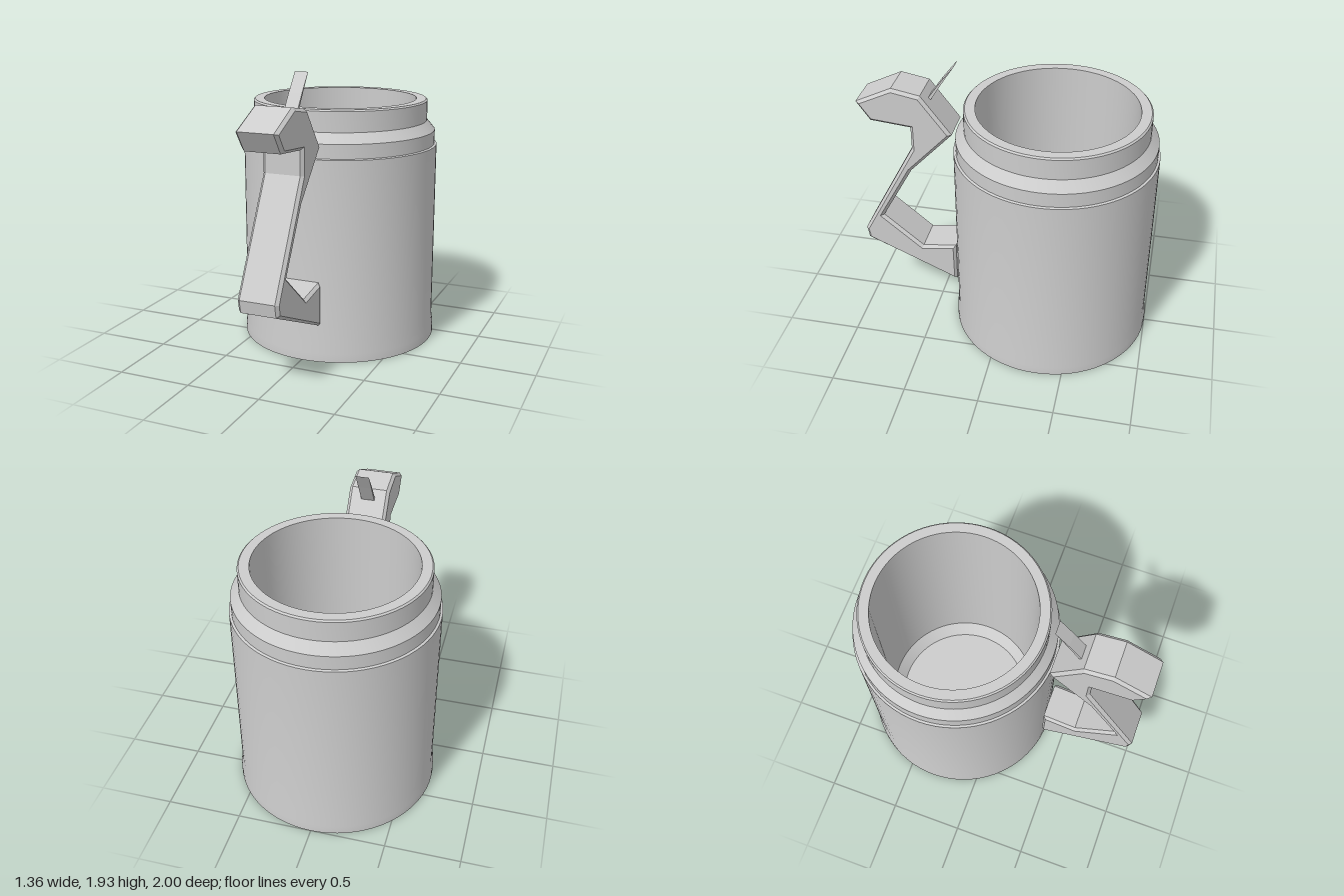
import * as THREE from 'three';
import { toCreasedNormals } from 'three/addons/utils/BufferGeometryUtils.js';

const toPoints = (list) => list.map(([a, b]) => new THREE.Vector2(a, b));

// Side-on (z, y) outline, extruded across x and centred on x = 0
function sidePlate(outline, width, bevel) {
  const depth = width - 2 * bevel;
  const geometry = new THREE.ExtrudeGeometry(new THREE.Shape(toPoints(outline)), {
    depth,
    bevelEnabled: bevel > 0,
    bevelSize: bevel,
    bevelThickness: bevel,
    bevelOffset: -bevel,
    bevelSegments: 1,
  });
  geometry.translate(0, 0, -depth / 2);
  geometry.rotateY(-Math.PI / 2);
  return geometry;
}

export function createModel() {
  const group = new THREE.Group();
  group.name = 'tankard';
  const metal = new THREE.MeshStandardMaterial({ color: 0xcccccc });
  metal.name = 'grey metal';

  const add = (name, geometry) => {
    const mesh = new THREE.Mesh(geometry, metal);
    mesh.name = name;
    group.add(mesh);
    return mesh;
  };

  // Double-walled body: underside, hollow foot, outer wall, rim, then the inside
  const profile = toPoints([
    [0, 0.11], [0.46, 0.11], [0.535, 0.2], [0.535, 1.3], [0.655, 1.3],
    [0.655, 0.13], [0.665, 0], [0.68, 0], [0.68, 0.06], [0.67, 0.13],
    [0.67, 1.375], [0.655, 1.38], [0.655, 1.475], [0.6, 1.54],
    [0.6, 1.675], [0.59, 1.685], [0.525, 1.685],
    [0.525, 0.2], [0.46, 0.115], [0, 0.115],
  ]);
  const body = add('body', toCreasedNormals(new THREE.LatheGeometry(profile, 72), 0.3));
  body.position.z = -0.32;

  // Angular bevelled handle with a hooked top
  add('handle', sidePlate([
    [0.35, 0.26], [0.35, 0.56], [0.587, 0.525], [0.86, 0.755], [0.64, 1.155],
    [0.35, 1.465], [0.55, 1.73], [0.74, 1.765], [0.985, 1.645], [0.895, 1.515],
    [0.625, 1.49], [0.625, 1.33], [1.0, 0.625], [0.985, 0.54],
  ], 0.276, 0.02));

  // Slim pointed thumb rest on top of the handle
  add('thumbRest', sidePlate([
    [0.525, 1.67], [0.5, 1.67], [0.415, 1.805], [0.335, 1.927], [0.43, 1.805],
  ], 0.09, 0));

  return group;
}
